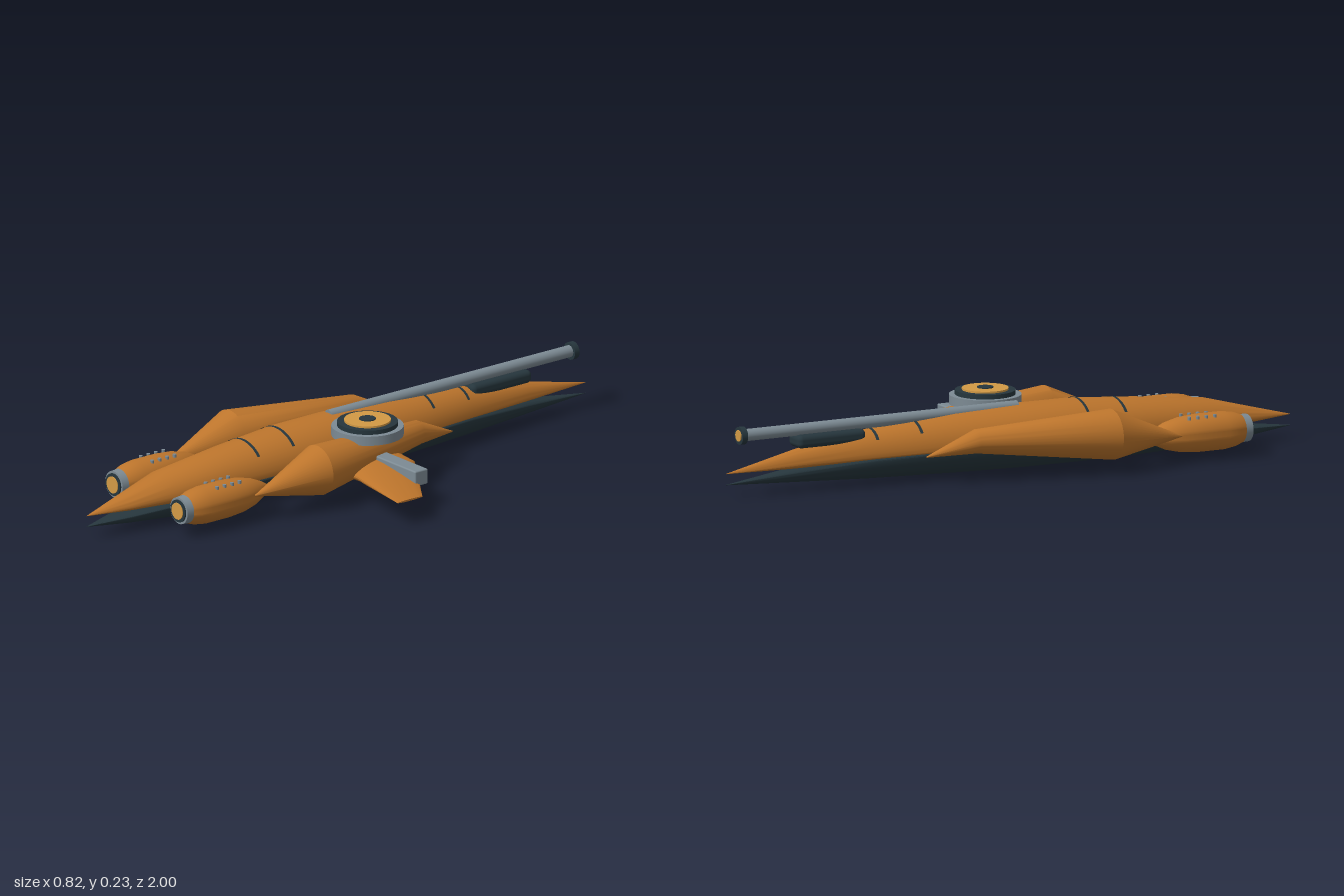
import * as THREE from 'three';
import { toCreasedNormals } from 'three/addons/utils/BufferGeometryUtils.js';
import { RoundedBoxGeometry } from 'three/addons/geometries/RoundedBoxGeometry.js';

const mat = (name, color, side = THREE.FrontSide) => {
  const m = new THREE.MeshStandardMaterial({ color, side });
  m.name = name;
  return m;
};

// Skin of elliptical rings along z; each ring is [z, cx, cy, rx, upper ry, lower ry]
function loft(rings, a0 = 0, a1 = Math.PI * 2, sides = 40) {
  const pos = [], idx = [], n = sides + 1;
  for (const [z, cx, cy, rx, up, down] of rings) {
    for (let j = 0; j <= sides; j++) {
      const a = a0 + (a1 - a0) * j / sides, s = Math.sin(a);
      pos.push(cx + rx * Math.cos(a), cy + s * (s > 0 ? up : down), z);
    }
  }
  for (let i = 0; i < rings.length - 1; i++) {
    for (let j = 0; j < sides; j++) {
      const a = i * n + j, b = a + 1, d = a + n, c = d + 1;
      idx.push(a, b, d, b, c, d);
    }
  }
  const g = new THREE.BufferGeometry();
  g.setAttribute('position', new THREE.Float32BufferAttribute(pos, 3));
  g.setIndex(idx);
  return toCreasedNormals(g, 0.42);
}

export function createModel() {
  const orange = mat('orange hull', 0xbd752c);
  const amber = mat('amber', 0xd39a45);
  const grey = mat('steel grey', 0x7d8b94);
  const dark = mat('dark slate', 0x26363d, THREE.DoubleSide);

  const model = new THREE.Group();
  model.name = 'spaceship';
  const CX = -0.115; // hull axis
  const add = (name, geo, material, x = 0, y = 0, z = 0, parent = model) => {
    const m = new THREE.Mesh(geo, material);
    m.name = name;
    m.position.set(x, y, z);
    parent.add(m);
    return m;
  };
  const rod = (r1, r2, len) => new THREE.CylinderGeometry(r1, r2, len, 32).rotateX(Math.PI / 2);

  // Upper and lower hull: [z, base y, half width, rise, drop]
  const upper = [
    [-1, 0.075, 0.0006, 0.0006, 0.0006], [-0.75, 0.085, 0.034, 0.047, 0.014],
    [-0.5, 0.092, 0.067, 0.078, 0.018], [-0.2, 0.095, 0.1, 0.1, 0.02],
    [0.03, 0.093, 0.114, 0.108, 0.024], [0.22, 0.092, 0.114, 0.108, 0.026],
    [0.45, 0.09, 0.1, 0.092, 0.027], [0.7, 0.085, 0.08, 0.07, 0.025],
    [0.85, 0.079, 0.043, 0.036, 0.014], [1, 0.075, 0.0006, 0.0006, 0.0006],
  ];
  const lower = [
    [-1, 0.04, 0.0006, 0.0006, 0.0006], [-0.75, 0.06, 0.034, 0.015, 0.033],
    [-0.5, 0.078, 0.068, 0.02, 0.063], [-0.2, 0.087, 0.102, 0.02, 0.081],
    [0.03, 0.088, 0.116, 0.02, 0.087], [0.22, 0.088, 0.116, 0.02, 0.088],
    [0.45, 0.08, 0.102, 0.02, 0.078], [0.7, 0.062, 0.08, 0.015, 0.052],
    [0.85, 0.05, 0.042, 0.008, 0.028], [1, 0.04, 0.0006, 0.0006, 0.0006],
  ];
  const hull = (t) => loft(t.map(([z, y, w, up, down]) => [z, CX, y, w, up, down]));
  add('upperHull', hull(upper), orange);
  add('lowerHull', hull(lower), dark);

  // Thin seam bands over the back of the hull
  const ringAt = (z) => {
    const i = upper.findIndex((r) => r[0] >= z), a = upper[i - 1], b = upper[i];
    const k = (z - a[0]) / (b[0] - a[0]);
    const [, y, w, up] = a.map((v, n) => v + (b[n] - v) * k);
    return [z, CX, y, w + 0.002, up + 0.002, up];
  };
  for (const z of [-0.49, -0.34, 0.24, 0.375]) {
    add('hullSeam', loft([ringAt(z - 0.005), ringAt(z + 0.005)], 0.7, Math.PI - 0.7, 24), dark);
  }

  // Mirrored side pods and engines
  for (const s of [-1, 1]) {
    const pod = [
      [-0.36, 0.13, 0.09, 0.002], [-0.2, 0.157, 0.13, 0.038],
      [0.25, 0.215, 0.12, 0.08], [0.5, 0.215, 0.09, 0.002],
    ].map(([z, x, y, r]) => [z, CX + s * x, y, r, r, r]);
    add('sidePod', loft(pod), orange);

    const engine = new THREE.Group();
    engine.name = 'engine';
    engine.position.set(CX + s * 0.16, 0.083, 0);
    model.add(engine);
    const body = [[0.4, 0.006], [0.43, 0.025], [0.47, 0.043], [0.52, 0.055], [0.58, 0.06],
      [0.67, 0.06], [0.71, 0.054], [0.735, 0.045]];
    add('engineBody', loft(body.map(([z, r]) => [z, 0, 0, r, r, r])), orange, 0, 0, 0, engine);
    add('engineRing', rod(0.043, 0.045, 0.03), grey, 0, 0, 0.745, engine);
    add('engineNozzle', rod(0.036, 0.036, 0.03), dark, 0, 0, 0.75, engine);
    add('engineCap', rod(0.027, 0.027, 0.03), amber, 0, 0, 0.753, engine);
    for (const x of [-0.028, 0.028]) {
      for (let i = 0; i < 4; i++) {
        add('engineStud', new THREE.CylinderGeometry(0.006, 0.006, 0.01, 12), grey,
          x, 0.054, 0.54 + i * 0.03, engine);
      }
    }
  }

  // Single wing, lofted along x with a lens section
  const wing = [
    [0.08, -0.02, 0.085, 0.12, 0.034, 0.034], [0.165, -0.025, 0.085, 0.115, 0.03, 0.03],
    [0.21, -0.045, 0.084, 0.104, 0.025, 0.025], [0.41, -0.13, 0.079, 0.05, 0.003, 0.003],
    [0.41, -0.13, 0.079, 0.0006, 0.0006, 0.0006],
  ];
  add('wing', loft(wing).rotateY(Math.PI / 2), orange);
  add('wingStrut', new RoundedBoxGeometry(0.25, 0.05, 0.052, 2, 0.005), grey, 0.2, 0.103, 0.014);

  // Round turret: stacked discs [name, radius, bottom, top, colour]
  for (const [name, r, y0, y1, m] of [
    ['turretBase', 0.113, 0.174, 0.204, grey], ['turretRing', 0.095, 0.2, 0.218, dark],
    ['turretLid', 0.073, 0.215, 0.224, amber], ['turretHub', 0.026, 0.22, 0.227, dark],
  ]) {
    add(name, new THREE.CylinderGeometry(r, r, y1 - y0, 48), m, 0.055, (y0 + y1) / 2, 0.012);
  }

  // Long gun on the back, with its saddle and muzzle
  add('gunBarrel', rod(0.019, 0.019, 0.98), grey, CX, 0.192, -0.46);
  add('gunMuzzle', rod(0.028, 0.028, 0.018), dark, CX, 0.192, -0.945);
  add('muzzleCap', rod(0.018, 0.018, 0.01), amber, CX, 0.192, -0.952);
  add('gunSaddle', new RoundedBoxGeometry(0.075, 0.042, 0.24, 4, 0.016), dark, CX, 0.157, -0.64);

  return model;
}
